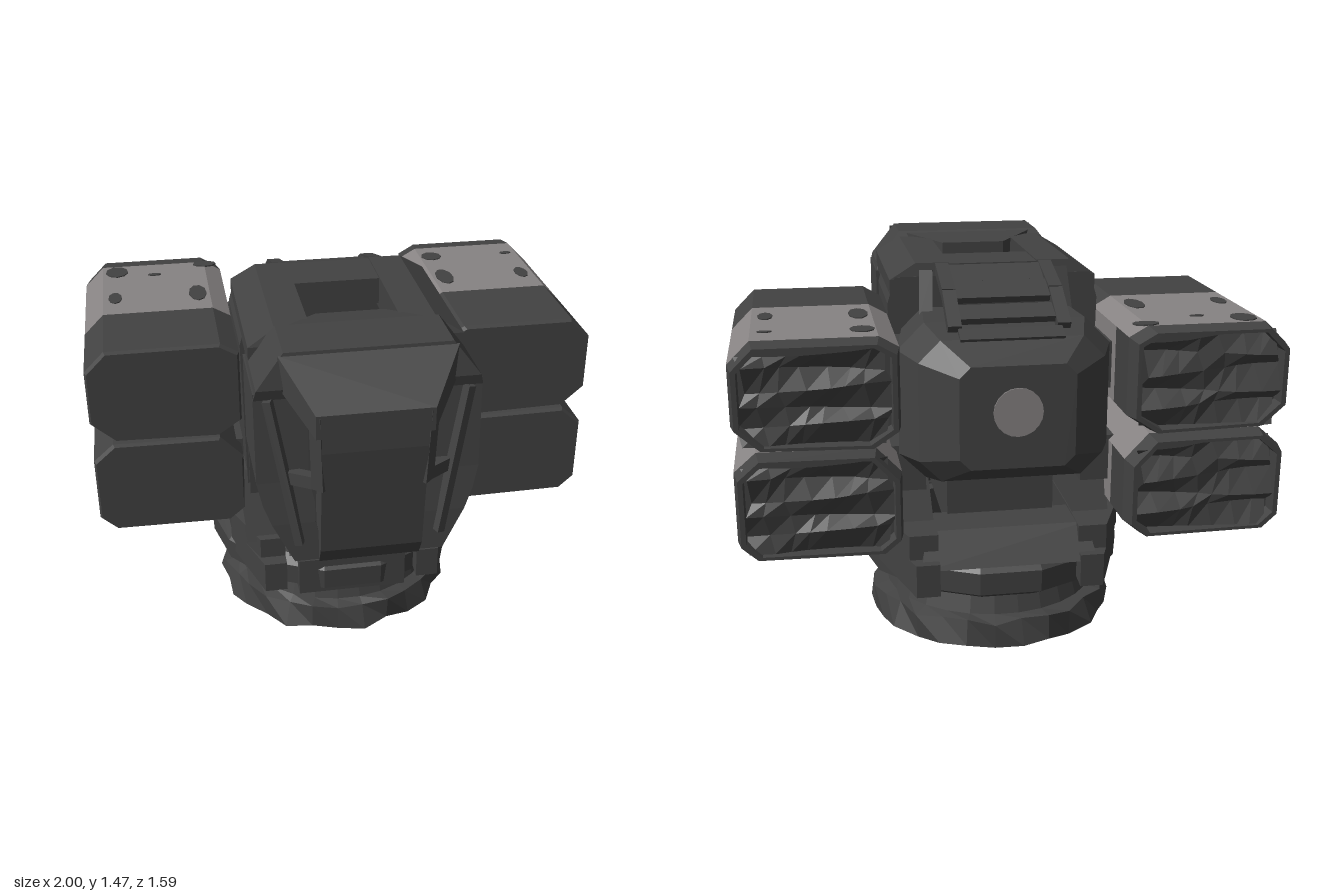
import * as THREE from 'three';

const dark = new THREE.MeshStandardMaterial({ color: 0x424242 });
dark.name = 'dark steel';
dark.flatShading = true;
const grey = new THREE.MeshStandardMaterial({ color: 0x878383 });
grey.name = 'worn grey paint';
grey.flatShading = true;

// Closed skin over matching rings of points; isGrey(segment, side) picks painted faces
function loft(sections, isGrey = () => false) {
  const n = sections[0].length, faces = [[], []];
  const tri = (a, b, c, m) => faces[m].push([a, b, c]);
  for (let s = 0; s < sections.length - 1; s++) {
    for (let i = 0; i < n; i++) {
      const j = (i + 1) % n, A = sections[s], B = sections[s + 1], m = isGrey(s, i) ? 1 : 0;
      tri(A[i], B[i], A[j], m);
      tri(A[j], B[i], B[j], m);
    }
  }
  const F = sections[0], L = sections[sections.length - 1];
  for (let i = 1; i < n - 1; i++) {
    tri(F[0], F[i], F[i + 1], 0);
    tri(L[0], L[i + 1], L[i], 0);
  }
  // Signed volume tells whether the winding must be turned round
  const v = (p) => new THREE.Vector3(...p);
  let volume = 0;
  for (const [a, b, c] of faces.flat()) volume += v(a).dot(v(b).cross(v(c)));
  const geo = new THREE.BufferGeometry();
  const ordered = faces.flat().map((f) => (volume < 0 ? [f[0], f[2], f[1]] : f));
  geo.setAttribute('position', new THREE.Float32BufferAttribute(ordered.flat(2), 3));
  geo.addGroup(0, faces[0].length * 3, 0);
  geo.addGroup(faces[0].length * 3, faces[1].length * 3, 1);
  geo.computeVertexNormals();
  return geo;
}

// Rectangles for lofting upwards or along z
const rectY = (y, x0, x1, z0, z1) => [[x0, y, z0], [x1, y, z0], [x1, y, z1], [x0, y, z1]];
const rectZ = (z, x0, x1, y0, y1) => [[x0, y0, z], [x1, y0, z], [x1, y1, z], [x0, y1, z]];
// Side profile of [z, y] points placed at a given x
const side = (x, profile) => profile.map(([z, y]) => [x, y, z]);

function add(parent, name, geo, mat = [dark, grey]) {
  const mesh = new THREE.Mesh(geo, mat);
  mesh.name = name;
  parent.add(mesh);
  return mesh;
}
function box(parent, name, x0, x1, y0, y1, z0, z1) {
  const geo = new THREE.BoxGeometry(Math.abs(x1 - x0), y1 - y0, z1 - z0);
  geo.translate((x0 + x1) / 2, (y0 + y1) / 2, (z0 + z1) / 2);
  return add(parent, name, geo, dark);
}
function bar(parent, name, a, b, w, h) {
  const p = new THREE.Vector3(...a), q = new THREE.Vector3(...b);
  const mesh = add(parent, name, new THREE.BoxGeometry(w, h, p.distanceTo(q)), dark);
  mesh.position.copy(p).add(q).multiplyScalar(0.5);
  mesh.lookAt(q);
}

function makePod(s, upper) {
  const pod = new THREE.Group();
  pod.name = (upper ? 'upper' : 'lower') + (s > 0 ? 'Left' : 'Right') + 'Pod';
  // Octagon from the inner lower corner, round by the outer side
  const outline = upper
    ? [[0.50, 0.90], [0.91, 0.91], [1, 0.99], [1, 1.21], [0.92, 1.29], [0.48, 1.29], [0.41, 1.25], [0.41, 0.96]]
    : [[0.47, 0.50], [0.94, 0.505], [1, 0.56], [1, 0.82], [0.92, 0.89], [0.50, 0.885], [0.41, 0.79], [0.41, 0.55]];
  const cx = 0.705, cy = upper ? 1.095 : 0.695;
  const ring = (z, k) => outline.map(([x, y]) => [s * (cx + (x - cx) * k), cy + (y - cy) * k, z]);
  const rings = [ring(0.17, 0.97), ring(0.15, 1), ring(-0.2, 1), ring(-0.55, 1), ring(-0.72, 1),
    ring(-0.8, 0.95), ring(-0.8, 0.89), ring(-0.74, 0.88)];
  add(pod, 'podShell', loft(rings, (seg, i) => (seg === 2 && i >= 2) || (seg === 3 && i >= 3 && i <= 5)));

  // Jagged rocket noses filling the rear opening
  const rough = new THREE.PlaneGeometry(0.51, 0.33, 7, 5).toNonIndexed();
  const p = rough.attributes.position;
  for (let i = 0; i < p.count; i++) {
    const c = Math.round((p.getX(i) + 0.255) / 0.073), r = Math.round((p.getY(i) + 0.165) / 0.066);
    const h = Math.sin(c * 12.9 + r * 78.2 + s * 3), g = Math.sin(c * 39.3 + r * 11.1);
    p.setXYZ(i, p.getX(i) + 0.018 * g, p.getY(i) + 0.016 * h, 0.022 * Math.sin(c * 5.7 + r * 9.4 + s));
  }
  const noses = add(pod, 'rocketNoses', rough, dark);
  noses.rotation.y = Math.PI;
  noses.position.set(s * cx, cy, -0.768);

  // Worn patches in the paint on the top
  if (upper) {
    const shared = [[0.87, -0.36, 0.028, 0.055], [0.53, -0.365, 0.037, 0.08]];
    const own = s > 0 ? [[0.53, -0.61, 0.045, 0.045], [0.87, -0.6, 0.026, 0.012]]
      : [[0.86, -0.65, 0.048, 0.058], [0.7, -0.6, 0.028, 0.012], [0.48, -0.69, 0.05, 0.03]];
    for (const [x, z, rx, rz] of [...shared, ...own]) {
      const patch = add(pod, 'wornPatch', new THREE.CylinderGeometry(1, 1, 0.006, 9), dark);
      patch.scale.set(rx, 1, rz);
      patch.position.set(s * x, 1.291, z);
    }
  }
  return pod;
}

// Hollow ring turned round the vertical axis of the base
function turned(profile, sides) {
  const geo = new THREE.LatheGeometry(profile.map(([r, y]) => new THREE.Vector2(r, y)), sides, Math.PI / sides);
  geo.translate(0, 0, -0.15);
  return geo;
}

export function createModel() {
  const model = new THREE.Group();
  model.name = 'rocketTurret';

  // Ragged base ring
  const foot = turned([[0.39, 0.02], [0.495, 0.01], [0.48, 0.11], [0.43, 0.12], [0.4, 0.22], [0.33, 0.22], [0.34, 0.1], [0.39, 0.02]], 28);
  const pos = foot.attributes.position;
  for (let i = 0; i < pos.count; i++) {
    const x = pos.getX(i), y = pos.getY(i), z = pos.getZ(i) + 0.15;
    if (Math.hypot(x, z) < 0.44) continue;
    const a = Math.floor(Math.atan2(z, x) * 14 / Math.PI + 28.01) % 28;
    const k = 1 + 0.03 * Math.sin(a * 2.3 + y * 25);
    pos.setXYZ(i, x * k, y + 0.01 * Math.sin(a * 4.1), z * k - 0.15);
  }
  add(model, 'baseRing', foot, dark);

  // Turntable and pedestal
  add(model, 'turntable', turned([[0.36, 0.22], [0.46, 0.21], [0.53, 0.25], [0.535, 0.34], [0.5, 0.38], [0.36, 0.38], [0.36, 0.22]], 14), dark);
  box(model, 'frontSill', -0.22, 0.22, 0.23, 0.39, 0.2, 0.36);
  box(model, 'pedestal', -0.21, 0.21, 0.42, 0.66, -0.42, 0.16);
  add(model, 'rearSill', loft([rectY(0.36, -0.34, 0.34, -0.66, -0.42), rectY(0.49, -0.31, 0.31, -0.58, -0.4)]));
  bar(model, 'pedestalBrace', [0, 0.36, 0.27], [0, 0.58, 0.13], 0.5, 0.06);

  for (const s of [1, -1]) {
    // Curved side rail above a slot, its feet, and the arm that carries the body
    const rail = (z, x, y0, y1) => rectZ(z, s * 0.27, s * x, y0, y1);
    add(model, 'sideRail', loft([rail(0.31, 0.37, 0.39, 0.48), rail(0.1, 0.47, 0.4, 0.5), rail(-0.4, 0.48, 0.4, 0.5), rail(-0.62, 0.38, 0.39, 0.49)]));
    add(model, 'frontRailFoot', loft([rail(0.36, 0.36, 0.26, 0.39), rail(0.08, 0.47, 0.3, 0.41)]));
    add(model, 'rearRailFoot', loft([rail(-0.38, 0.48, 0.3, 0.41), rail(-0.67, 0.36, 0.26, 0.39)]));
    add(model, 'supportArm', loft([rectY(0.46, s * 0.27, s * 0.42, -0.5, 0.29), rectY(0.74, s * 0.29, s * 0.41, -0.4, 0.18)]));
    bar(model, 'headStay', [s * 0.28, 0.62, 0.24], [s * 0.24, 0.67, 0.42], 0.08, 0.05);

    // Body wall, its front edge, and the shoulder beam reaching to the head
    add(model, 'bodyWall', loft([rectY(0.66, s * 0.3, s * 0.4, -0.25, 0.2), rectY(1.3, s * 0.3, s * 0.41, -0.25, 0.2),
      rectY(1.4, s * 0.17, s * 0.38, -0.25, 0.2)]));
    bar(model, 'wallEdge', [s * 0.37, 0.66, 0.225], [s * 0.37, 1.34, 0.245], 0.05, 0.018);
    add(model, 'shoulderBeam', loft([rectY(1.32, s * 0.17, s * 0.4, -0.25, 0.42), rectY(1.39, s * 0.17, s * 0.4, -0.25, 0.42),
      rectY(1.45, s * 0.17, s * 0.3, -0.24, 0.4)]));

    // Cheek of the head, narrowing below
    add(model, 'cheek', loft([rectY(0.64, s * 0.16, s * 0.28, 0.39, 0.7), rectY(0.8, s * 0.2, s * 0.36, 0.39, 0.69),
      rectY(0.88, s * 0.2, s * 0.39, 0.32, 0.68), rectY(0.97, s * 0.22, s * 0.41, 0.32, 0.67), rectY(1.32, s * 0.22, s * 0.41, 0.32, 0.65)]));
    bar(model, 'cheekTrim', [s * 0.36, 1.3, 0.66], [s * 0.26, 0.72, 0.7], 0.04, 0.03);
    bar(model, 'visorStrut', [s * 0.2, 1.28, 0.76], [s * 0.19, 0.98, 0.75], 0.05, 0.04);
    bar(model, 'visorLink', [s * 0.19, 1.0, 0.74], [s * 0.31, 0.99, 0.65], 0.04, 0.05);

    // Sloping roof rail and flank at the back
    bar(model, 'roofRail', [s * 0.2, 1.43, -0.24], [s * 0.2, 1.37, -0.44], 0.05, 0.04);
    bar(model, 'roofRail', [s * 0.2, 1.37, -0.44], [s * 0.2, 1.27, -0.6], 0.05, 0.04);
    bar(model, 'roofPost', [s * 0.26, 1.42, -0.24], [s * 0.27, 1.26, -0.31], 0.05, 0.03);

    for (const upper of [true, false]) {
      model.add(makePod(s, upper));
      const y = upper ? 1.09 : 0.72;
      box(model, 'podMount', s * 0.3, s * 0.43, y - 0.09, y + 0.09, -0.5, 0.05);
    }
  }

  // Body core, and roof with an opening behind the head
  box(model, 'bodyCore', -0.31, 0.31, 0.64, 1.12, -0.3, 0.14);
  box(model, 'roofPlate', -0.18, 0.18, 1.34, 1.445, -0.24, -0.02);

  // Rounded rear hull
  const hull = (z, w, y0, y1, c) => [[-w + c, y0, z], [w - c, y0, z], [w, y0 + c, z], [w, y1 - c, z],
    [w - c, y1, z], [-w + c, y1, z], [-w, y1 - c, z], [-w, y0 + c, z]];
  add(model, 'rearHull', loft([hull(-0.25, 0.36, 0.66, 1.28, 0.08), hull(-0.5, 0.4, 0.68, 1.28, 0.1),
    hull(-0.66, 0.34, 0.72, 1.25, 0.08), hull(-0.78, 0.21, 0.8, 1.18, 0.04)]));
  for (const [z, y, depth] of [[-0.3, 1.41, 0.1], [-0.42, 1.37, 0.1], [-0.53, 1.31, 0.08], [-0.64, 1.255, 0.06]]) {
    bar(model, 'roofSlat', [0, y + depth * 0.22, z + depth / 2], [0, y - depth * 0.22, z - depth / 2], 0.38, 0.025);
  }
  const disc = add(model, 'rearDisc', new THREE.CylinderGeometry(0.09, 0.09, 0.008, 20), grey);
  disc.rotation.x = Math.PI / 2;
  disc.position.set(0, 1.01, -0.782);

  // Head: cap, tail, brow, core and front plate
  add(model, 'headCap', loft([rectY(1.3, -0.41, 0.41, 0.33, 0.66), rectY(1.34, -0.4, 0.4, 0.36, 0.67), rectY(1.47, -0.3, 0.3, 0.42, 0.65)]));
  add(model, 'headTail', loft([rectZ(0.43, -0.28, 0.28, 1.34, 1.465), rectZ(0.27, -0.13, 0.13, 1.38, 1.44)]));
  add(model, 'brow', loft([rectZ(0.65, -0.32, 0.32, 1.34, 1.46), rectZ(0.79, -0.21, 0.21, 1.2, 1.29)]));
  box(model, 'headCore', -0.24, 0.24, 0.64, 1.32, 0.39, 0.64);
  const plate = [[0.79, 1.22], [0.79, 1.14], [0.74, 0.7], [0.7, 0.63], [0.6, 0.63], [0.66, 0.98], [0.73, 1.05], [0.74, 1.22]];
  add(model, 'frontPlate', loft([side(-0.19, plate), side(0.19, plate)]));
  return model;
}
